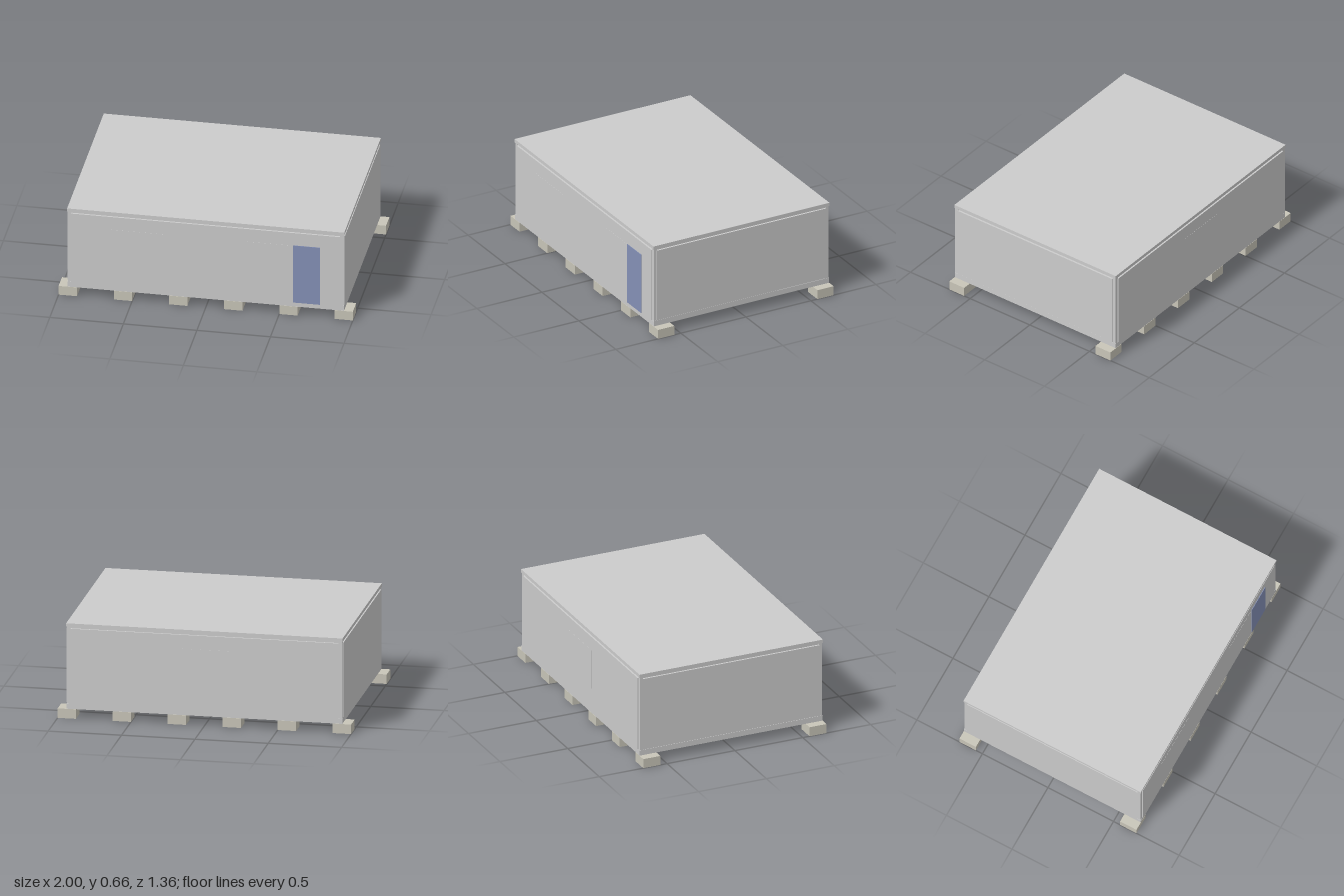
import * as THREE from 'three';

export function createModel() {
  const model = new THREE.Group();
  const paint = (color) => new THREE.MeshStandardMaterial({ color });
  const grey = paint(0xcccccc);
  const concrete = paint(0xc8c5b8);
  const flooring = paint(0xbdb5a3);
  const doorBlue = paint(0x8490b6);

  // Box given by its lower and upper limits on each axis
  function box(name, [x0, x1], [y0, y1], [z0, z1], material = grey) {
    const mesh = new THREE.Mesh(new THREE.BoxGeometry(x1 - x0, y1 - y0, z1 - z0), material);
    mesh.position.set((x0 + x1) / 2, (y0 + y1) / 2, (z0 + z1) / 2);
    mesh.name = name;
    model.add(mesh);
    return mesh;
  }
  const span = (centre, size) => [centre - size / 2, centre + size / 2];

  // Inner body, roof cap and floor in three bays
  box('body', [-0.93, 0.93], [0.075, 0.645], [-0.664, 0.664]);
  box('roof', [-0.942, 0.942], [0.638, 0.662], [-0.676, 0.676]);
  for (const i of [-1, 0, 1]) {
    box('floorBay', span(i * 0.625, 0.623), [0.066, 0.08], [-0.67, 0.67], flooring);
  }

  for (const s of [-1, 1]) {
    // Bottom rails
    box('longRail', [-0.94, 0.94], [0.067, 0.105], span(s * 0.665, 0.018));
    box('endRail', span(s * 0.931, 0.018), [0.067, 0.105], [-0.674, 0.674]);

    // Wall panels, standing just proud of the corner posts
    box('longWall', [-0.915, 0.915], [0.105, 0.626], span(s * 0.667, 0.02));
    box('endWall', span(s * 0.933, 0.02), [0.108, 0.626], [-0.65, 0.65]);

    for (const t of [-1, 1]) {
      box('cornerPost', span(s * 0.926, 0.024), [0.1, 0.64], span(t * 0.66, 0.024));
    }

    // Foundation blocks along both long sides
    for (const x of [-0.9375, -0.5625, -0.1875, 0.1875, 0.5625, 0.9375]) {
      box('foundationBlock', span(x, 0.125), [0, 0.066], span(s * 0.6125, 0.125), concrete);
    }
  }

  // Nearly flush windows: two in front, one at the back
  for (const [x, z] of [[-0.47, 0.674], [0.47, 0.674], [0, -0.674]]) {
    box('window', span(x, 0.37), [0.25, 0.53], span(z, 0.008));
  }

  // Door
  box('door', [0.593, 0.778], [0.1, 0.533], [0.67, 0.681], doorBlue);

  return model;
}
